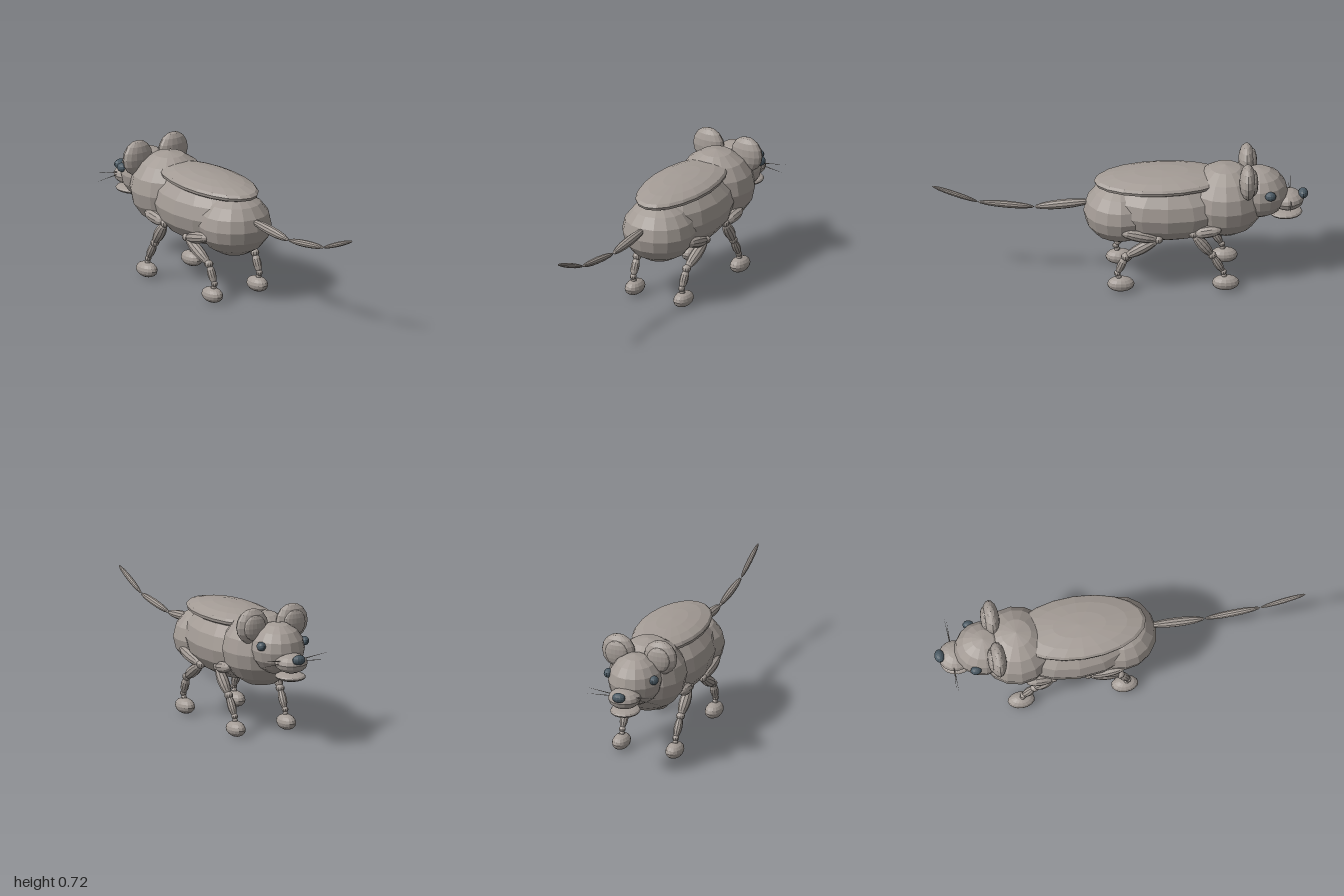
import * as THREE from 'three';

export function createModel() {
  const model = new THREE.Group();
  model.name = 'mouse';
  const fur = new THREE.MeshStandardMaterial({ color: 0xa39b95, flatShading: true });
  fur.name = 'greyFur';
  const dark = new THREE.MeshStandardMaterial({ color: 0x4a5963, flatShading: true });
  dark.name = 'darkSlate';
  const V = (x, y, z) => new THREE.Vector3(x, y, z);

  // Faceted ellipsoid at a centre with given radii
  function ball(name, pos, radii, mat = fur, w = 16, h = 8) {
    const mesh = new THREE.Mesh(new THREE.SphereGeometry(1, w, h), mat);
    mesh.name = name;
    mesh.position.set(...pos);
    mesh.scale.set(...radii);
    model.add(mesh);
    return mesh;
  }

  // Spindle stretched between two points
  function spindle(name, a, b, r, w = 10) {
    const mid = a.clone().add(b).multiplyScalar(0.5);
    const dir = b.clone().sub(a);
    const mesh = ball(name, mid.toArray(), [r, dir.length() / 2, r], fur, w, 8);
    mesh.quaternion.setFromUnitVectors(V(0, 1, 0), dir.normalize());
    return mesh;
  }

  // Torso and head
  ball('rump', [0, 0.41, 0], [0.2, 0.17, 0.195]);
  ball('belly', [0, 0.44, -0.25], [0.22, 0.19, 0.37]);
  ball('chest', [0, 0.47, -0.56], [0.21, 0.202, 0.21]);
  ball('head', [0, 0.51, -0.74], [0.145, 0.14, 0.152]);
  ball('snout', [0, 0.46, -0.89], [0.088, 0.053, 0.088]);
  ball('lowerJaw', [0, 0.385, -0.88], [0.08, 0.023, 0.09]);
  ball('nose', [0, 0.494, -0.973], [0.037, 0.027, 0.027], dark, 12, 8);

  // Oval pad on the back
  const profile = [[0, -0.035], [0.88, -0.035], [0.98, -0.024], [1, -0.008],
    [0.95, 0.006], [0.72, 0.024], [0.4, 0.036], [0, 0.041]].map(p => new THREE.Vector2(...p));
  const pad = new THREE.Mesh(new THREE.LatheGeometry(profile, 20), fur);
  pad.name = 'backPad';
  pad.scale.set(0.18, 1, 0.36);
  pad.position.set(0, 0.602, -0.22);
  pad.rotation.x = 0.025;
  model.add(pad);

  // Tail links, each thinner than the last
  const tail = [V(0, 0.462, 0.15), V(0, 0.432, 0.455), V(0, 0.467, 0.755), V(0, 0.565, 1)];
  [0.026, 0.019, 0.014].forEach((r, i) => spindle('tailLink' + (i + 1), tail[i], tail[i + 1], r));

  for (const s of [1, -1]) {
    const side = s > 0 ? 'left' : 'right';

    // Face details
    ball(side + 'Eye', [s * 0.131, 0.545, -0.797], [0.024, 0.025, 0.03], dark, 12, 8);
    ball(side + 'Ear', [s * 0.12, 0.628, -0.677], [0.095, 0.097, 0.046]);
    ball(side + 'InnerEar', [s * 0.12, 0.625, -0.71], [0.065, 0.07, 0.022]);
    [[0.5, -0.915], [0.455, -0.9]].forEach(([y, z], i) => {
      const a = V(s * 0.06, 0.478 - i * 0.01, -0.905), b = V(s * 0.215, y, z);
      const whisker = new THREE.Mesh(new THREE.ConeGeometry(0.003, a.distanceTo(b), 5), fur);
      whisker.name = side + 'Whisker' + (i + 1);
      whisker.position.copy(a).lerp(b, 0.5);
      whisker.quaternion.setFromUnitVectors(V(0, 1, 0), b.sub(a).normalize());
      model.add(whisker);
    });

    // Legs: hip, knee, hock, ankle and foot, given as z and y
    const legs = {
      Hind: [[0.0, 0.365], [-0.2, 0.315], [-0.025, 0.208], [0.018, 0.107], [0.0, 0.043]],
      Front: [[-0.535, 0.375], [-0.385, 0.345], [-0.485, 0.21], [-0.545, 0.107], [-0.557, 0.043]],
    };
    for (const [kind, path] of Object.entries(legs)) {
      const xs = [0.178, 0.168, 0.156, 0.153, 0.153];
      const p = path.map(([z, y], i) => V(s * xs[i], y, z));
      const name = side + kind;
      spindle(name + 'Thigh', p[0], p[1], 0.033);
      spindle(name + 'Shin', p[1], p[2], 0.031);
      spindle(name + 'Hock', p[2], p[3], 0.023);
      spindle(name + 'Ankle', p[3], p[4], 0.016);
      [0.024, 0.024, 0.018].forEach((r, i) =>
        ball(name + ['Knee', 'HockJoint', 'AnkleJoint'][i], p[i + 1].toArray(), [r, r * 0.9, r], fur, 10, 8));
      ball(name + 'Foot', p[4].toArray(), [0.046, 0.042, 0.073]);
    }
  }
  return model;
}
